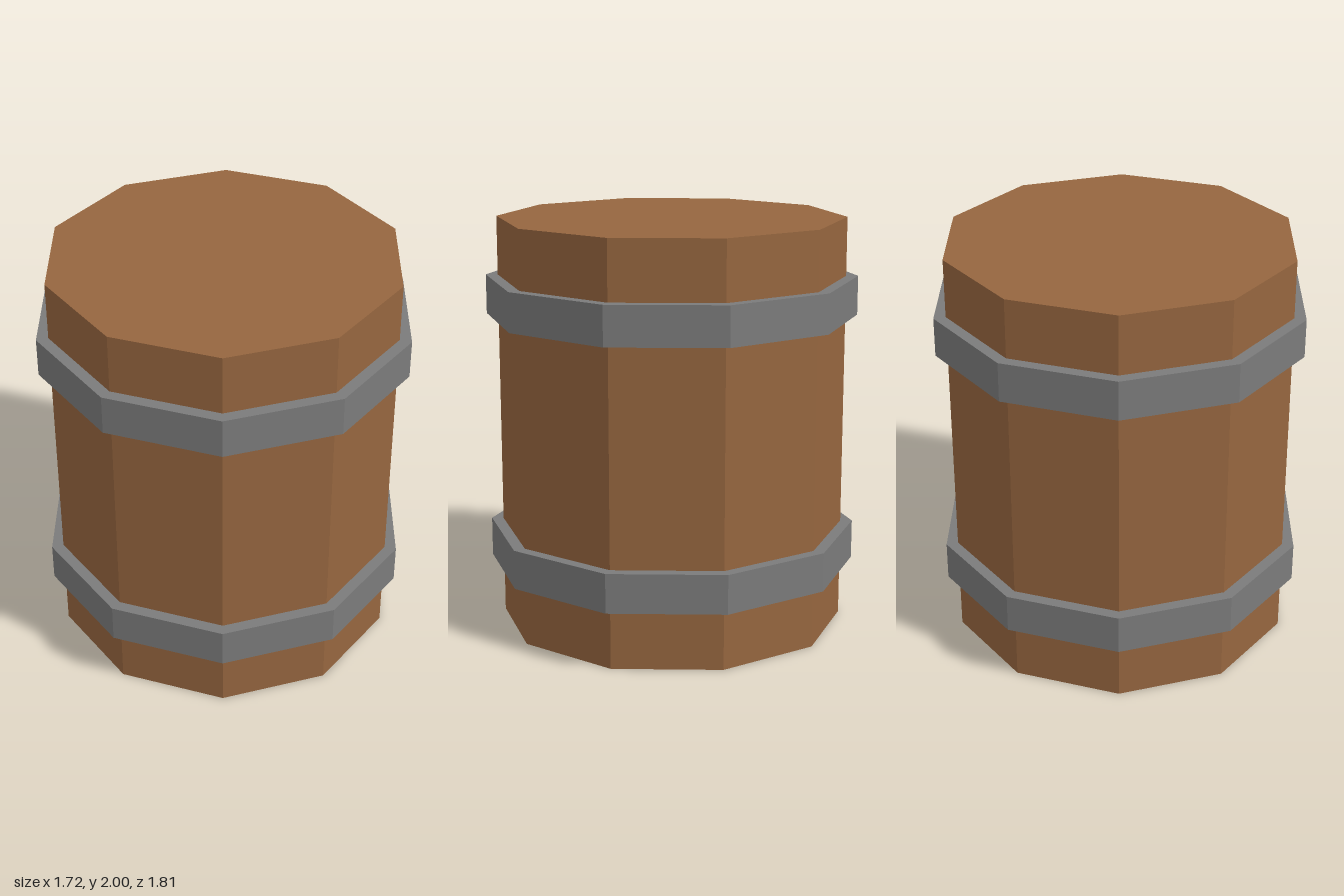
import * as THREE from 'three';

const SIDES = 10;

export function createModel() {
  const wood = new THREE.MeshStandardMaterial({ color: 0x96663f });
  wood.name = 'brown wood';
  const iron = new THREE.MeshStandardMaterial({ color: 0x7b7b7b });
  iron.name = 'grey iron';

  const barrel = new THREE.Group();
  barrel.name = 'barrel';

  // Ten-sided prism spanning two heights, with a corner facing the front
  const addPrism = (name, radius, bottom, top, material) => {
    const geometry = new THREE.CylinderGeometry(radius, radius, top - bottom, SIDES).toNonIndexed();
    geometry.computeVertexNormals(); // flat facets
    const mesh = new THREE.Mesh(geometry, material);
    mesh.name = name;
    mesh.position.y = (bottom + top) / 2;
    barrel.add(mesh);
  };

  // Wooden body
  addPrism('body', 0.845, 0, 2, wood);

  // Metal hoops
  addPrism('lowerHoop', 0.903, 0.29, 0.48, iron);
  addPrism('upperHoop', 0.903, 1.525, 1.715, iron);

  return barrel;
}
